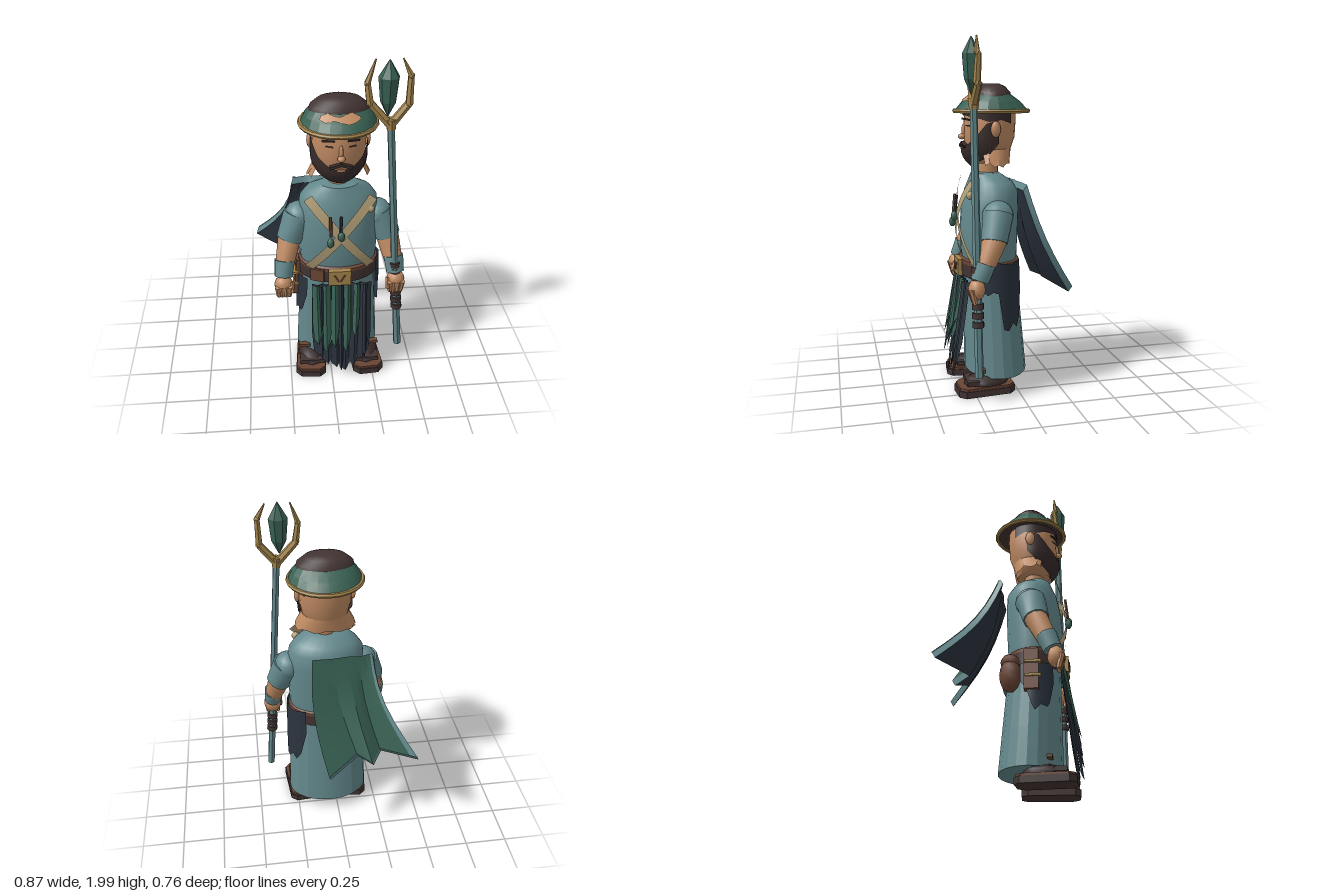
import * as THREE from 'three';
import { toCreasedNormals } from 'three/addons/utils/BufferGeometryUtils.js';

const mat = (name, color) => {
  const m = new THREE.MeshStandardMaterial({ color, side: THREE.DoubleSide });
  m.name = name;
  return m;
};
const V = (p) => new THREE.Vector3(...p);
const CX = 0.05; // body centre line

// Grid surface from a rule f(u, v) -> [x, y, z]
function sheet(nu, nv, f) {
  const pos = [], idx = [];
  for (let j = 0; j <= nv; j++) for (let i = 0; i <= nu; i++) pos.push(...f(i / nu, j / nv));
  for (let j = 0; j < nv; j++) for (let i = 0; i < nu; i++) {
    const a = j * (nu + 1) + i, b = a + nu + 1;
    idx.push(a, a + 1, b + 1, a, b + 1, b);
  }
  const g = new THREE.BufferGeometry();
  g.setAttribute('position', new THREE.Float32BufferAttribute(pos, 3));
  g.setIndex(idx);
  return g;
}
// Stacked ellipses, bottom up: [y, centre z, radius x, radius z]
function loft(rings, seg = 20, cx = CX) {
  const n = rings.length - 1;
  return sheet(seg, n, (u, v) => {
    const [y, cz, rx, rz] = rings[Math.round(v * n)], t = u * Math.PI * 2;
    return [cx + rx * Math.sin(t), y, cz + rz * Math.cos(t)];
  });
}
// Linear lookup in a short list
function pick(list, t) {
  const s = t * (list.length - 1), i = Math.min(Math.floor(s + 1e-6), list.length - 2);
  return list[i] + (list[i + 1] - list[i]) * (s - i);
}

export function createModel() {
  const M = {
    teal: mat('teal cloth', 0x64898d), green: mat('green cloth', 0x396154),
    dark: mat('charcoal cloth', 0x2b333d), leather: mat('brown leather', 0x6a4535),
    brown: mat('dark brown', 0x423433), hair: mat('beard hair', 0x382b2b),
    skin: mat('skin', 0xc08b63), gold: mat('gold', 0xa3844b), tan: mat('tan strap', 0xb5a27a),
  };
  const root = new THREE.Group();
  root.name = 'staffBearer';
  const add = (name, geo, m, crease = 0.5) => {
    const mesh = new THREE.Mesh(toCreasedNormals(geo, crease), m);
    mesh.name = name;
    root.add(mesh);
    return mesh;
  };
  const limb = (name, p, q, r1, r2, m, seg = 10, crease = 0.8) => {
    const a = V(p), b = V(q), d = b.clone().sub(a);
    const mesh = add(name, new THREE.CylinderGeometry(r2, r1, d.length(), seg), m, crease);
    mesh.position.copy(a).lerp(b, 0.5);
    mesh.quaternion.setFromUnitVectors(new THREE.Vector3(0, 1, 0), d.normalize());
    return mesh;
  };
  const ball = (name, p, s, m, seg = 12) => {
    const mesh = add(name, new THREE.SphereGeometry(1, seg, 8), m, 0.9);
    mesh.position.set(...p);
    mesh.scale.set(...s);
    return mesh;
  };
  const box = (name, p, s, m, rz = 0) => {
    const mesh = add(name, new THREE.BoxGeometry(...s), m);
    mesh.position.set(...p);
    mesh.rotation.z = rz;
    return mesh;
  };
  // Arc shell round the body axis between a lower and an upper edge
  const shell = (name, a0, a1, n, lo, hi, cz, radii, m) => add(name, sheet(n, 4, (u, v) => {
    const t = THREE.MathUtils.degToRad(a0 + (a1 - a0) * u), y = pick(lo, u) + (pick(hi, u) - pick(lo, u)) * v;
    const [rx, rz] = radii(y, v);
    return [CX + rx * Math.sin(t), y, cz + rz * Math.cos(t)];
  }), m);

  // Robe, torso, belt
  add('robe', loft([[0.1, 0.09, 0.001, 0.001], [0.09, 0.09, 0.25, 0.18], [0.3, 0.1, 0.24, 0.17], [0.72, 0.12, 0.215, 0.15]]), M.teal, 0.25);
  add('torso', loft([[0.7, 0.12, 0.215, 0.15], [0.8, 0.125, 0.225, 0.16], [0.92, 0.125, 0.23, 0.165], [1.05, 0.118, 0.23, 0.162],
    [1.15, 0.11, 0.22, 0.15], [1.2, 0.115, 0.185, 0.125], [1.25, 0.145, 0.11, 0.078], [1.255, 0.145, 0.001, 0.001]], 24), M.teal, 0.7);
  add('belt', loft([[0.655, 0.125, 0.215, 0.155], [0.665, 0.125, 0.232, 0.17], [0.735, 0.125, 0.234, 0.17]], 24), M.brown);
  add('beltTop', loft([[0.735, 0.125, 0.234, 0.17], [0.755, 0.125, 0.234, 0.17], [0.765, 0.125, 0.215, 0.155]], 24), M.leather);
  box('beltFlap', [CX - 0.13, 0.71, 0.268], [0.08, 0.08, 0.02], M.leather).rotation.y = -0.4;
  box('buckle', [CX - 0.005, 0.71, 0.305], [0.13, 0.095, 0.025], M.gold);
  for (const s of [-1, 1]) box('buckleMark', [CX - 0.005 + s * 0.018, 0.71, 0.32], [0.009, 0.05, 0.008], M.leather, s * -0.5);
  const patchRadii = (y) => [0.243 + (0.76 - y) * 0.03, 0.175 + (0.76 - y) * 0.04];
  shell('leftPatch', 62, 145, 18, [0.6, 0.58, 0.6, 0.59, 0.38, 0.37, 0.41, 0.38, 0.44, 0.6], [0.77, 0.765, 0.75, 0.77], 0.12, patchRadii, M.dark);
  shell('rightPatch', -110, -50, 12, [0.56, 0.5, 0.38, 0.42, 0.4, 0.55], [0.66, 0.66], 0.12, patchRadii, M.dark);

  // Sandals and hem toggles
  for (const s of [-1, 1]) {
    const x = CX + s * 0.167, w = 0.092, l = 0.165, c = 0.035;
    const outline = new THREE.Shape([[-w, -l + c], [-w + c, -l], [w - c, -l], [w, -l + c], [w, l - c], [w - c, l], [c - w, l], [-w, l - c]]
      .map((p) => new THREE.Vector2(...p)));
    for (const [name, y, depth, k, m] of [['sole', 0, 0.038, 1, M.brown], ['insole', 0.038, 0.014, 0.95, M.leather]]) {
      const geo = new THREE.ExtrudeGeometry(outline, { depth, bevelEnabled: false }).rotateX(-Math.PI / 2).scale(k, 1, k);
      const mesh = add(name, geo, m);
      mesh.position.set(x, y, 0.188);
      mesh.rotation.y = s * 0.08;
    }
    ball('shoe', [x, 0.055, 0.18], [0.082, 0.055, 0.13], M.hair);
    box('toeStrap', [x, 0.072, 0.265], [0.15, 0.025, 0.07], M.brown);
    box('hemToggle', [CX + s * 0.21, 0.14, 0.21], [0.07, 0.018, 0.03], M.leather);
  }

  // Ragged front cloth: charcoal layer behind, green layer in front
  const strip = (name, x, xb, w, yb, z, m) => add(name, sheet(2, 3, (u, v) => {
    const k = 1 - v, ww = w * (0.85 + 0.3 * k) * (v === 0 ? 0.75 : 1);
    return [x + (xb - x) * k + (u - 0.5) * ww, yb + (0.65 - yb) * v + (v === 0 ? (u === 0.5 ? 0 : 0.03 + 0.05 * u) : 0),
      z + 0.07 * k + (u === 0.5 ? 0.016 : 0)];
  }), m, 0.2);
  [0.17, 0.1, 0.07, 0.04, 0.08, 0.13].forEach((y, i) =>
    strip('darkStrip', -0.08 + i * 0.056, -0.075 + i * 0.052, 0.082, y, 0.272, M.dark));
  [[-0.088, 0.27, 0.062], [-0.035, 0.21, 0.066], [0.02, 0.24, 0.05], [0.095, 0.2, 0.046], [0.15, 0.32, 0.04]].forEach(([x, y, w]) =>
    strip('greenStrip', x, x * 0.92, w, y, 0.287, M.green));
  for (const [x, y] of [[0.055, 0.06], [-0.062, 0.16], [0.195, 0.16]]) strip('darkFold', x, x, 0.03, y, 0.294, M.dark);

  // Arms, mirrored
  for (const s of [-1, 1]) {
    const P = (x, y, z) => [CX + s * x, y, z];
    ball('shoulder', P(0.225, 1.03, 0.12), [0.085, 0.085, 0.09], M.teal);
    limb('sleeve', P(0.23, 1.04, 0.12), P(0.287, 0.895, 0.155), 0.087, 0.074, M.teal, 12);
    limb('forearm', P(0.282, 0.91, 0.15), P(0.322, 0.74, 0.225), 0.068, 0.052, M.skin);
    limb('cuff', P(0.317, 0.785, 0.21), P(0.327, 0.695, 0.245), 0.06, 0.053, M.teal);
    ball('hand', P(0.328, 0.65, 0.262), [0.054, 0.06, 0.048], M.skin);
    for (let i = 0; i < 4; i++) limb('finger', P(0.293 + i * 0.023, 0.655, 0.296), P(0.297 + i * 0.02, 0.575, 0.275), 0.018, 0.014, M.skin, 6);
    limb('thumb', P(0.283, 0.67, 0.27), P(0.278, 0.61, 0.295), 0.017, 0.013, M.skin, 6);
  }

  // Crossed straps with hanging charms
  for (const s of [-1, 1]) {
    add('strap', sheet(1, 14, (u, v) => {
      const x = s * (-0.18 + 0.36 * v), y = 0.76 + 0.45 * v, side = (u - 0.5) * 0.055;
      const z = 0.128 + 0.178 * Math.sqrt(1 - (x / 0.25) ** 2) + (s > 0 ? 0.006 : 0);
      return [CX + x + side * 0.78, y - s * side * 0.62, z];
    }), M.tan, 1);
    limb('charmRod', [CX - 0.03 + s * 0.03, 1.12, 0.31], [CX - 0.03 + s * 0.027, 1, 0.322], 0.009, 0.009, s > 0 ? M.dark : M.leather, 6);
    ball('charm', [CX - 0.03 + s * 0.03, 0.98 + s * 0.02, 0.325], [0.02, 0.03, 0.02], M.green, 8);
  }
  ball('strapKnob', [CX + 0.165, 1.14, 0.265], [0.024, 0.024, 0.02], M.tan, 8);

  // Neck and head
  limb('neck', [CX, 1.22, 0.125], [CX, 1.36, 0.12], 0.055, 0.06, M.skin);
  add('head', loft([[1.3, 0.12, 0.001, 0.001], [1.305, 0.12, 0.085, 0.1], [1.36, 0.125, 0.13, 0.12], [1.45, 0.12, 0.148, 0.146],
    [1.55, 0.115, 0.152, 0.148], [1.62, 0.11, 0.14, 0.14]], 24), M.skin, 1);
  shell('raggedCollar', 60, 300, 18, [1.3, 1.315, 1.29, 1.305, 1.285, 1.315, 1.305, 1.29, 1.305, 1.315, 1.29, 1.305, 1.285, 1.31, 1.3, 1.29, 1.315, 1.3],
    [1.39, 1.39], 0.12, (y, v) => [0.178 - 0.045 * v, 0.112 + 0.012 * v], M.skin);
  shell('beard', -100, 100, 24, [1.42, 1.34, 1.31, 1.29, 1.285, 1.29, 1.31, 1.34, 1.42],
    [1.55, 1.53, 1.45, 1.405, 1.385, 1.405, 1.45, 1.53, 1.55], 0.125,
    (y) => [0.158 - Math.max(0, 1.42 - y) ** 2 * 4, 0.155 - Math.max(0, 1.38 - y) ** 2 * 6], M.hair);
  shell('hairline', -128, 128, 20, [1.53, 1.55, 1.54, 1.56, 1.57, 1.58, 1.57, 1.56, 1.54, 1.55, 1.53], [1.61, 1.61], 0.115, () => [0.157, 0.154], M.hair);
  ball('noseBridge', [CX, 1.485, 0.263], [0.012, 0.045, 0.016], M.skin, 8);
  ball('noseTip', [CX, 1.455, 0.275], [0.022, 0.017, 0.024], M.skin, 8);
  for (const s of [-1, 1]) {
    ball('ear', [CX + s * 0.16, 1.5, 0.115], [0.016, 0.045, 0.028], M.skin, 8);
    box('moustache', [CX + s * 0.03, 1.41, 0.268], [0.066, 0.016, 0.026], M.hair, s * -0.3);
    const brow = box('eyebrow', [CX + s * 0.068, 1.55, 0.251], [0.07, 0.009, 0.009], M.hair, s * -0.1);
    const eye = box('eye', [CX + s * 0.062, 1.517, 0.251], [0.04, 0.006, 0.008], M.brown);
    brow.rotation.y = eye.rotation.y = s * 0.4;
  }
  box('mouth', [CX, 1.39, 0.278], [0.04, 0.012, 0.008], M.skin);

  // Brimmed hat with a dark crown
  add('hatSide', loft([[1.6, 0.105, 0.21, 0.21], [1.65, 0.107, 0.187, 0.165], [1.69, 0.108, 0.155, 0.11]]), M.green, 0.25);
  add('hatInside', loft([[1.592, 0.105, 0.208, 0.208], [1.61, 0.105, 0.13, 0.13]]), M.brown);
  add('hatCrown', loft([[1.665, 0.11, 0.168, 0.114], [1.7, 0.11, 0.158, 0.11], [1.735, 0.11, 0.115, 0.08], [1.75, 0.11, 0.06, 0.045], [1.75, 0.11, 0.001, 0.001]]), M.brown, 0.7);
  const brim = add('hatBrim', new THREE.TorusGeometry(0.209, 0.013, 6, 24).rotateX(Math.PI / 2), M.gold);
  brim.position.set(CX - 0.002, 1.598, 0.105);
  shell('hatPatch', -38, 36, 12, [1.665, 1.655, 1.665, 1.66, 1.65, 1.655, 1.665], [1.68, 1.692, 1.684, 1.68, 1.69, 1.692, 1.675], 0.108,
    (y) => [0.187 - (y - 1.65) * 0.8 + 0.006, 0.165 - (y - 1.65) * 1.375 + 0.01], M.skin);

  // Windswept cape: green outside, charcoal lining, teal edges
  const topX = [-0.2, -0.12, -0.05, 0.03, 0.15], topZ = [-0.055, -0.075, -0.07, -0.08, -0.08];
  const botX = [-0.425, -0.23, -0.17, -0.085, 0.095], botY = [0.645, 0.61, 0.58, 0.61, 0.55], botZ = [-0.38, -0.23, -0.32, -0.26, -0.38];
  const cape = (u, v, inner) => {
    const w = 1 - v, bow = Math.sin(Math.PI * w);
    return [pick(topX, u) * v + pick(botX, u) * w + bow * (0.035 * u + 0.055 * Math.max(0, 1 - 3 * u)) - inner * 0.012,
      1.18 * v + pick(botY, u) * w - inner * 0.035, pick(topZ, u) * v + pick(botZ, u) * w + 0.035 * bow + inner * 0.02];
  };
  add('capeOutside', sheet(8, 6, (u, v) => cape(u, v, 0)), M.green, 0.3);
  add('capeLining', sheet(8, 6, (u, v) => cape(u, v, 1)), M.dark, 0.3);
  for (const k of [0, 1]) {
    add('capeSideEdge', sheet(6, 1, (u, v) => cape(k, u, v)), M.teal);
    add('capeEndEdge', sheet(8, 1, (u, v) => cape(u, k, v)), M.teal);
  }
  add('capeTrim', sheet(1, 6, (u, v) => {
    const p = cape(u * 0.05, v, 0);
    return [p[0], p[1] + 0.003, p[2] - 0.004];
  }), M.teal);

  // Belt pouches
  ball('hipPouch', [-0.16, 0.6, 0], [0.055, 0.1, 0.06], M.leather, 8);
  ball('pouchFlap', [-0.15, 0.68, 0], [0.055, 0.045, 0.055], M.leather, 8);
  ball('backPouch', [0, 0.62, -0.03], [0.06, 0.095, 0.035], M.green, 8);
  box('hipCase', [-0.185, 0.62, 0.12], [0.045, 0.24, 0.08], M.leather, -0.08);
  for (const y of [0.58, 0.66]) box('caseClasp', [-0.203, y, 0.13], [0.035, 0.015, 0.09], M.gold);

  // Staff, grips, fork and crystal
  const staffAt = (y) => [0.412 - (y - 0.16) * 0.07, y, 0.258];
  limb('staff', staffAt(0.16), staffAt(1.64), 0.024, 0.021, M.teal, 6, 0.2);
  for (const y of [0.44, 0.49, 0.54, 0.7, 0.74]) limb('grip', staffAt(y), staffAt(y + 0.032), 0.033, 0.033, M.brown, 8);
  limb('forkSocket', staffAt(1.61), staffAt(1.67), 0.025, 0.032, M.gold, 6);
  const prongs = [[[0.3, 1.64], [0.195, 1.76], [0.18, 1.87], [0.22, 1.99]], [[0.31, 1.64], [0.398, 1.75], [0.402, 1.9], [0.357, 1.99]]];
  for (const pts of prongs) for (let i = 0; i < 3; i++) {
    const r = [0.024, 0.021, 0.017, 0.004];
    limb('forkProng', [...pts[i], 0.258], [...pts[i + 1], 0.25], r[i], r[i + 1], M.gold, 6, 0.3);
    if (i) ball('forkJoint', [...pts[i], 0.255], [r[i], r[i], r[i]], M.gold, 6);
  }
  add('crystal', loft([[1.69, 0.265, 0.004, 0.004], [1.77, 0.265, 0.043, 0.04], [1.9, 0.265, 0.056, 0.05], [1.99, 0.265, 0.003, 0.003]], 7, 0.288), M.green, 0.1);
  return root;
}
